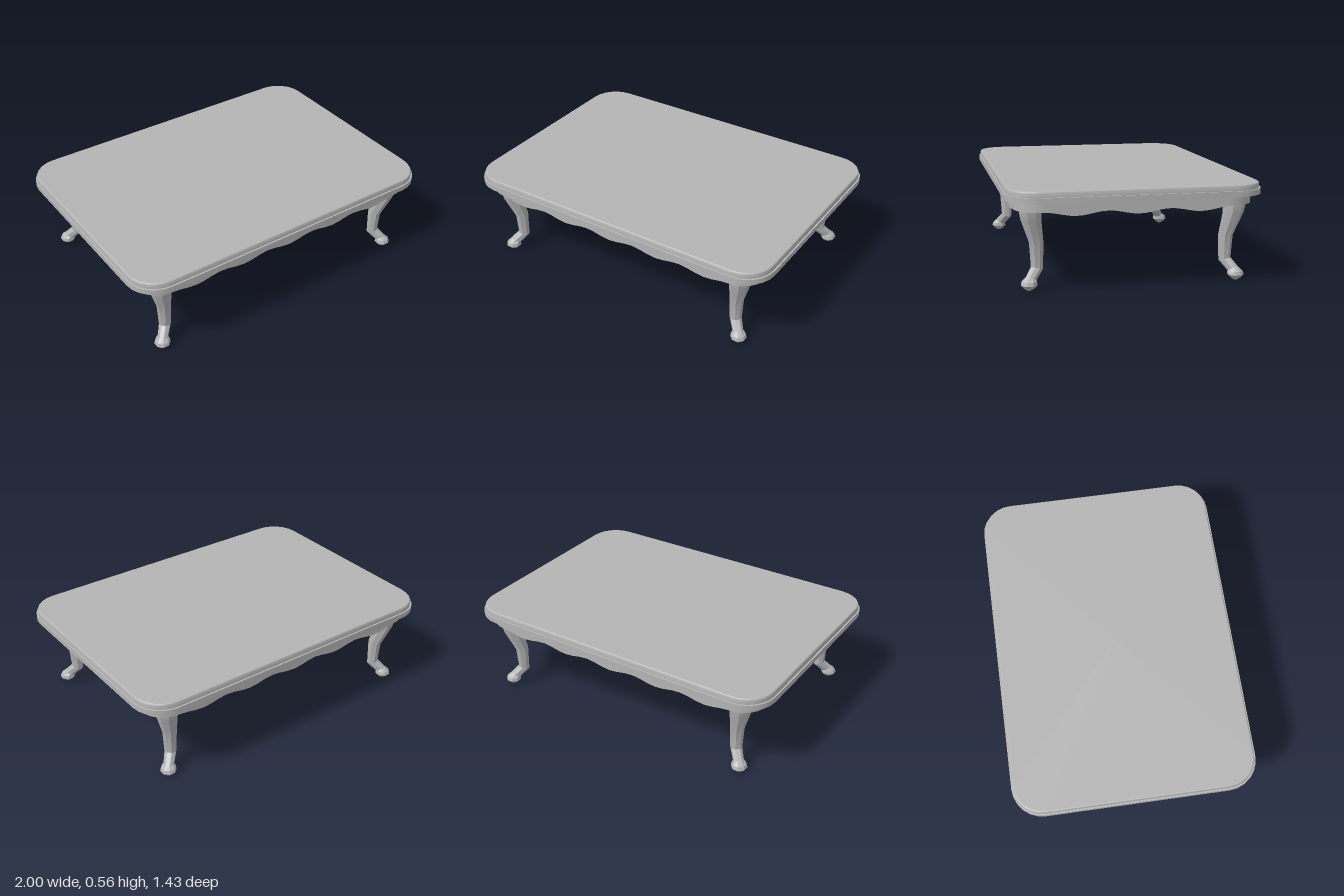
import * as THREE from 'three';
import { toCreasedNormals } from 'three/addons/utils/BufferGeometryUtils.js';

// Skin a list of closed rings (counterclockwise from above, going up), with optional end caps
function loft(rings, capped, crease) {
  const n = rings[0].length;
  const pos = [];
  const tri = (...pts) => pts.forEach((p) => pos.push(p.x, p.y, p.z));
  for (let k = 0; k + 1 < rings.length; k++) {
    for (let i = 0; i < n; i++) {
      const j = (i + 1) % n;
      const [a, b, c, d] = [rings[k][i], rings[k][j], rings[k + 1][j], rings[k + 1][i]];
      tri(a, b, c);
      tri(a, c, d);
    }
  }
  if (capped) {
    [rings[0], rings[rings.length - 1]].forEach((ring, end) => {
      const mid = ring.reduce((s, p) => s.add(p), new THREE.Vector3()).divideScalar(n);
      for (let i = 0; i < n; i++) {
        const j = (i + 1) % n;
        if (end) tri(mid, ring[i], ring[j]);
        else tri(mid, ring[j], ring[i]);
      }
    });
  }
  const geo = new THREE.BufferGeometry();
  geo.setAttribute('position', new THREE.Float32BufferAttribute(pos, 3));
  return toCreasedNormals(geo, crease);
}

// Rounded rectangle outline; height(t, side) gives y along each straight side, t from 0 to 1
function roundedRing(hx, hz, r, height, steps = 1) {
  const ring = [];
  const arc = 6;
  const corners = [[1, -1], [-1, -1], [-1, 1], [1, 1]];
  corners.forEach(([sx, sz], q) => {
    const cx = sx * (hx - r), cz = sz * (hz - r);
    for (let i = 0; i <= arc; i++) {
      const a = (q + i / arc) * Math.PI / 2;
      ring.push(new THREE.Vector3(cx + r * Math.cos(a), height(0, q), cz - r * Math.sin(a)));
    }
    const from = ring[ring.length - 1];
    const [nx, nz] = corners[(q + 1) % 4];
    const a = (q + 1) * Math.PI / 2;
    const to = new THREE.Vector3(nx * (hx - r) + r * Math.cos(a), 0, nz * (hz - r) - r * Math.sin(a));
    for (let i = 1; i < steps; i++) {
      const p = from.clone().lerp(to, i / steps);
      p.y = height(i / steps, q);
      ring.push(p);
    }
  });
  return ring;
}

export function createModel() {
  const table = new THREE.Group();
  table.name = 'lowTable';
  const grey = new THREE.MeshStandardMaterial({ color: 0xb4b4b4 });
  grey.name = 'grey';
  const add = (name, geo) => {
    const mesh = new THREE.Mesh(geo, grey);
    mesh.name = name;
    table.add(mesh);
  };

  // Stepped table top: [inset, height]
  const slab = (profile) => loft(
    profile.map(([d, y]) => roundedRing(1 - d, 0.713 - d, 0.18 - d, () => y)), true, 0.5);
  add('topRim', slab([[0, 0.5], [0, 0.532]]));
  add('topBoard', slab([[0.01, 0.53], [0.01, 0.556], [0.013, 0.562], [0.018, 0.565]]));

  // Thin apron with a scalloped lower edge: five waves on long sides, three on short
  const scallop = (t, q) => {
    const waves = q % 2 === 0 ? 5 : 3;
    return 0.445 - 0.011 * (1 - Math.cos(2 * Math.PI * waves * t));
  };
  const wall = (inset, height) => roundedRing(0.945 - inset, 0.665 - inset, 0.15 - inset, height, 30);
  const under = () => 0.505;
  add('apron', loft([wall(0.018, under), wall(0.018, scallop), wall(0, scallop), wall(0, under)], false, 0.5));

  // Curved legs: [height, outward shift, radius, tilt]
  const legSections = [
    [0.062, 0.034, 0.031, 0.4], [0.11, -0.002, 0.034, 0.3], [0.25, 0, 0.041, 0],
    [0.385, 0.032, 0.059, 0.1], [0.44, 0.036, 0.064, 0], [0.5, 0.036, 0.064, 0],
  ];
  const footSections = [
    [0, 0.048, 0.012, 0], [0.015, 0.048, 0.034, 0], [0.03, 0.048, 0.047, 0],
    [0.05, 0.046, 0.043, 0], [0.066, 0.036, 0.028, 0.3],
  ];
  const legRings = (sections, sx, sz) => sections.map(([y, d, r, tilt]) => {
    const ring = [];
    for (let i = 0; i < 8; i++) {
      const a = (i + 0.5) * Math.PI / 4;
      const x = r * Math.cos(a), z = -r * Math.sin(a);
      const outward = (x * sx + z * sz) * Math.SQRT1_2;
      ring.push(new THREE.Vector3(sx * (0.78 + d) + x, y + tilt * outward, sz * (0.538 + d) + z));
    }
    return ring;
  });
  for (const sx of [1, -1]) {
    for (const sz of [1, -1]) {
      const place = (sz > 0 ? 'front' : 'back') + (sx > 0 ? 'Left' : 'Right');
      add(place + 'Leg', loft(legRings(legSections, sx, sz), true, 0.5));
      add(place + 'Foot', loft(legRings(footSections, sx, sz), true, 0.5));
    }
  }
  return table;
}
